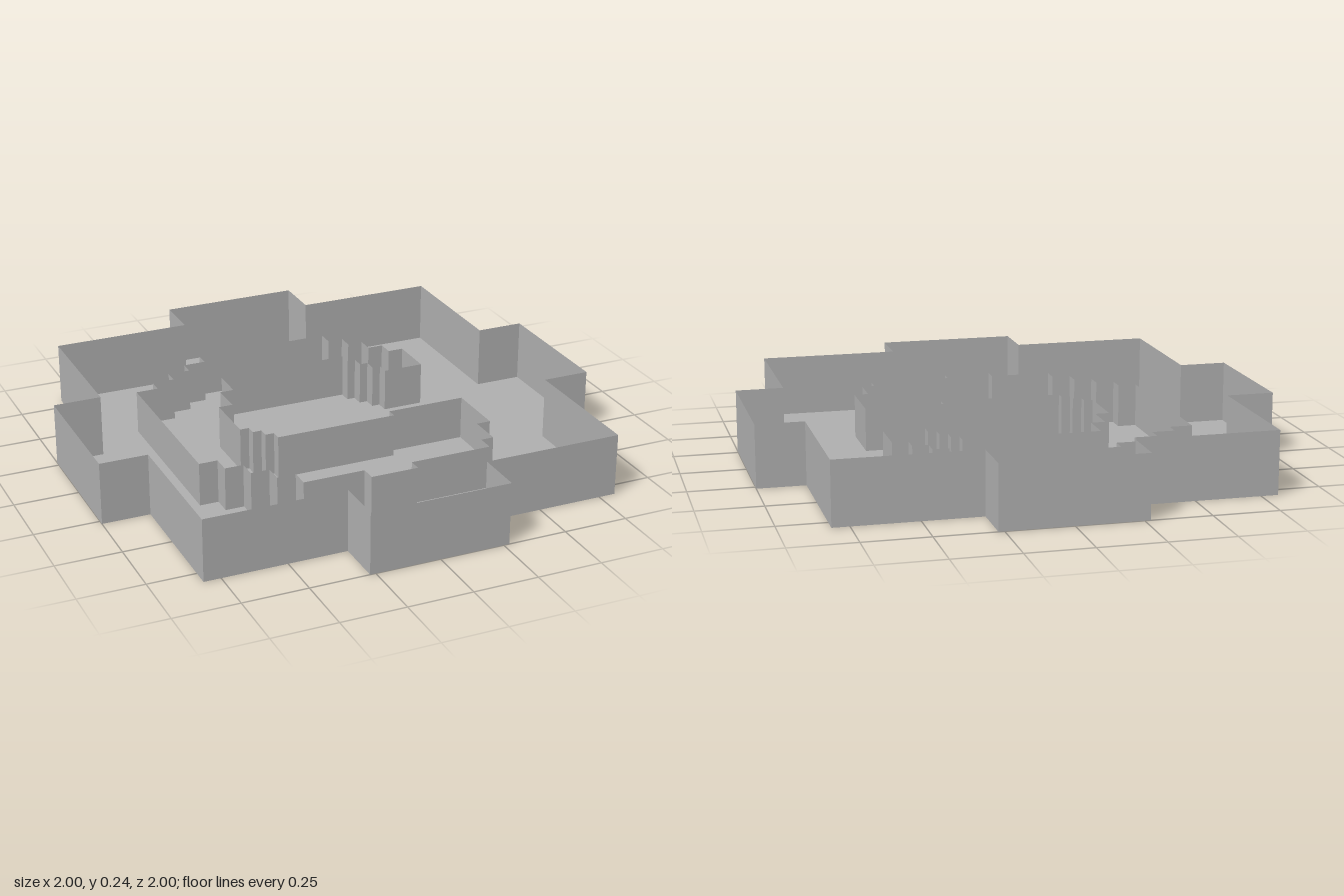
import * as THREE from 'three';

const OUTER_HEIGHT = 0.242;
const INNER_HEIGHT = 0.17;

// Adds axis-aligned steps from the last point of a path to (x, z).
function stairs(path, x, z, count, xFirst) {
  const [x0, z0] = path[path.length - 1];
  for (let i = 1; i <= count; i++) {
    const a = [x0 + ((x - x0) * (i - 1)) / count, z0 + ((z - z0) * (i - 1)) / count];
    const b = [x0 + ((x - x0) * i) / count, z0 + ((z - z0) * i) / count];
    path.push(xFirst ? [b[0], a[1]] : [a[0], b[1]], b);
  }
}

// Closed run of thin upright panels along a plan outline.
function wallRun(path, height, material, name) {
  const positions = [];
  path.forEach(([x0, z0], i) => {
    const [x1, z1] = path[(i + 1) % path.length];
    positions.push(x0, 0, z0, x1, 0, z1, x1, height, z1);
    positions.push(x0, 0, z0, x1, height, z1, x0, height, z0);
  });
  const geometry = new THREE.BufferGeometry();
  geometry.setAttribute('position', new THREE.Float32BufferAttribute(positions, 3));
  geometry.computeVertexNormals();
  const mesh = new THREE.Mesh(geometry, material);
  mesh.name = name;
  return mesh;
}

export function createModel() {
  const group = new THREE.Group();
  group.name = 'walledArena';
  const grey = new THREE.MeshStandardMaterial({ color: 0xb0b0b0, side: THREE.DoubleSide });
  grey.name = 'stone grey';

  // Square plan with a bay in the middle of every side
  const a = 0.815, b = 0.272;
  const plan = [];
  for (let i = 0; i < 4; i++) {
    const c = [1, 0, -1, 0][i], s = [0, 1, 0, -1][i];
    for (const [x, z] of [[a, -a], [a, -b], [1, -b], [1, b], [a, b]]) {
      plan.push([x * c - z * s, x * s + z * c]);
    }
  }

  // Floor
  const floorShape = new THREE.Shape(plan.map(([x, z]) => new THREE.Vector2(x, -z)));
  const floor = new THREE.Mesh(new THREE.ShapeGeometry(floorShape).rotateX(-Math.PI / 2), grey);
  floor.name = 'floor';
  group.add(floor);

  // Outer wall
  group.add(wallRun(plan, OUTER_HEIGHT, grey, 'outerWall'));

  // Inner wall: outline of an open band with stepped corners
  const band = [[-0.625, 0.28], [-0.625, -0.41]];
  stairs(band, -0.275, -0.64, 4, true);        // back left corner
  band.push([0.27, -0.64]);
  stairs(band, 0.515, -0.38, 4, false);        // back right corner
  band.push([0.515, -0.205], [0.355, -0.205]); // upper end of the band
  stairs(band, 0.225, -0.405, 4, false);
  band.push([-0.27, -0.405]);
  stairs(band, -0.38, -0.15, 2, false);
  band.push([-0.38, 0.07]);
  stairs(band, -0.275, 0.19, 3, true);
  band.push([0.205, 0.19], [0.205, 0.15], [0.515, 0.15]); // lower end of the band
  band.push([0.515, 0.385], [0.46, 0.385], [0.46, 0.515], [0.41, 0.515]);
  band.push([0.41, 0.58], [0.09, 0.58], [0.09, 0.63], [-0.095, 0.63], [-0.095, 0.57]);
  band.push([-0.335, 0.57]);
  stairs(band, -0.625, 0.28, 4, false);        // front left corner
  band.pop();
  group.add(wallRun(band, INNER_HEIGHT, grey, 'innerWall'));

  return group;
}
